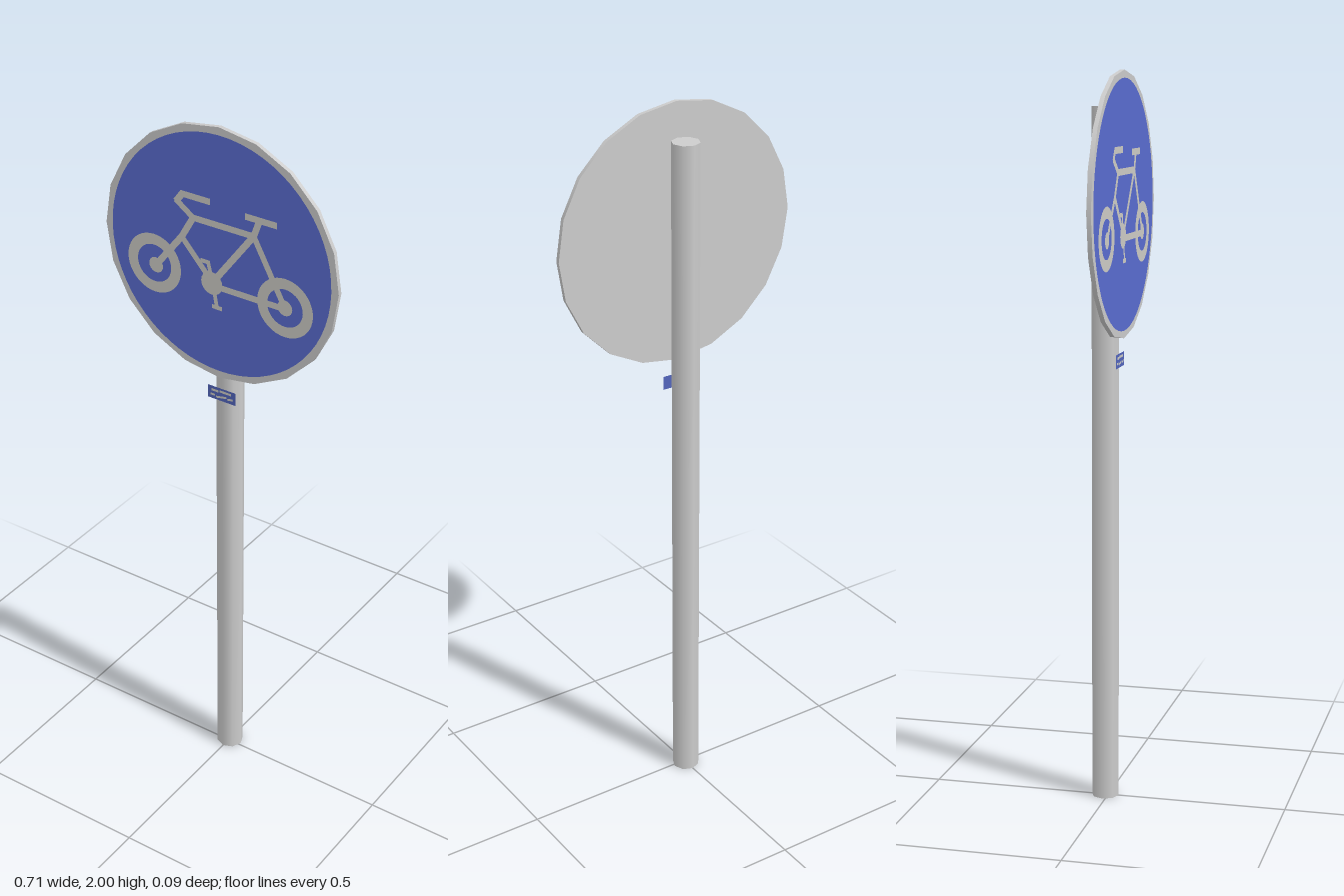
import * as THREE from 'three';
import { mergeGeometries } from 'three/addons/utils/BufferGeometryUtils.js';

const SIGN_Y = 1.645, FRONT = 0.044, POLE_Z = -0.008;

export function createModel() {
  const model = new THREE.Group();
  model.name = 'cycleRouteSign';

  const material = (name, color, side = THREE.FrontSide) => {
    const m = new THREE.MeshStandardMaterial({ color, side });
    m.name = name;
    return m;
  };
  const metal = material('grey metal', 0xcccccc);
  const blue = material('sign blue', 0x5a6dd0);
  const white = material('symbol off-white', 0xcdccc6);
  const stickerBlue = material('sticker blue', 0x5265bd, THREE.DoubleSide);

  const add = (name, geometry, mat, x, y, z) => {
    const mesh = new THREE.Mesh(geometry, mat);
    mesh.name = name;
    mesh.position.set(x, y, z);
    model.add(mesh);
    return mesh;
  };

  // Flat bar of width w between two points
  const bar = (x1, y1, x2, y2, w = 0.018) => {
    const g = new THREE.PlaneGeometry(Math.hypot(x2 - x1, y2 - y1) + w * 0.5, w);
    g.rotateZ(Math.atan2(y2 - y1, x2 - x1));
    return g.translate((x1 + x2) / 2, (y1 + y2) / 2, 0);
  };
  const disc = (x, y, r) => new THREE.CircleGeometry(r, 20).translate(x, y, 0);
  const ring = (x, y, inner, outer) => new THREE.RingGeometry(inner, outer, 40).translate(x, y, 0);

  // Octagonal pole
  add('pole', new THREE.CylinderGeometry(0.038, 0.038, 1.905, 8), metal, 0, 0.9525, POLE_Z);

  // Twenty-sided plate with a vertex at the top
  const plate = new THREE.CylinderGeometry(0.355, 0.355, 0.012, 20).rotateX(Math.PI / 2);
  add('signPlate', plate, metal, 0, SIGN_Y, FRONT - 0.006);

  // Blue face, leaving the plate showing as a rim
  add('blueFace', new THREE.CircleGeometry(0.334, 64), blue, 0, SIGN_Y, FRONT + 0.001);

  // Bicycle symbol, in coordinates around the middle of the sign
  const bicycle = [
    ring(-0.201, -0.075, 0.053, 0.084),      // wheels
    ring(0.201, -0.083, 0.053, 0.083),
    disc(-0.196, -0.079, 0.022),             // hubs
    disc(0.201, -0.083, 0.022),
    disc(-0.021, -0.08, 0.033),              // chainwheel
    bar(-0.196, -0.079, -0.113, 0.027),      // fork
    bar(-0.113, 0.027, -0.077, 0.09),
    bar(-0.077, 0.09, -0.127, 0.125),        // stem and handlebar
    bar(-0.127, 0.125, -0.11, 0.148),
    bar(-0.11, 0.148, -0.029, 0.148),
    bar(-0.08, 0.09, 0.108, 0.09),           // top tube
    bar(-0.113, 0.027, -0.021, -0.075),      // down tube
    bar(0.106, 0.09, -0.012, -0.068),        // seat tube
    bar(0.106, 0.09, 0.123, 0.138),          // seat post
    bar(0.085, 0.138, 0.17, 0.138),          // saddle
    bar(0.109, 0.085, 0.201, -0.083),        // seat stay
    bar(-0.01, -0.086, 0.201, -0.086),       // chain stay
    bar(-0.032, -0.022, -0.024, -0.055, 0.012), // cranks and pedals
    bar(-0.053, -0.023, -0.03, -0.023, 0.012),
    bar(-0.012, -0.11, -0.006, -0.142, 0.012),
    bar(-0.018, -0.146, 0.008, -0.146, 0.012),
  ];
  add('bicycleSymbol', mergeGeometries(bicycle), white, 0, SIGN_Y, FRONT + 0.002);

  // Small sticker with pale flecks, in front of the pole
  const stickerZ = POLE_Z + 0.0405;
  add('sticker', new THREE.PlaneGeometry(0.088, 0.038), stickerBlue, 0, 1.23, stickerZ);
  const flecks = [
    bar(-0.03, 0.008, -0.012, 0.008, 0.007),
    bar(-0.005, 0.01, 0.028, 0.01, 0.007),
    bar(-0.034, -0.006, -0.022, -0.006, 0.006),
    bar(-0.016, -0.01, 0.014, -0.004, 0.006),
    bar(0.02, -0.008, 0.034, -0.004, 0.006),
  ];
  add('stickerFlecks', mergeGeometries(flecks), white, 0, 1.23, stickerZ + 0.001);

  return model;
}
